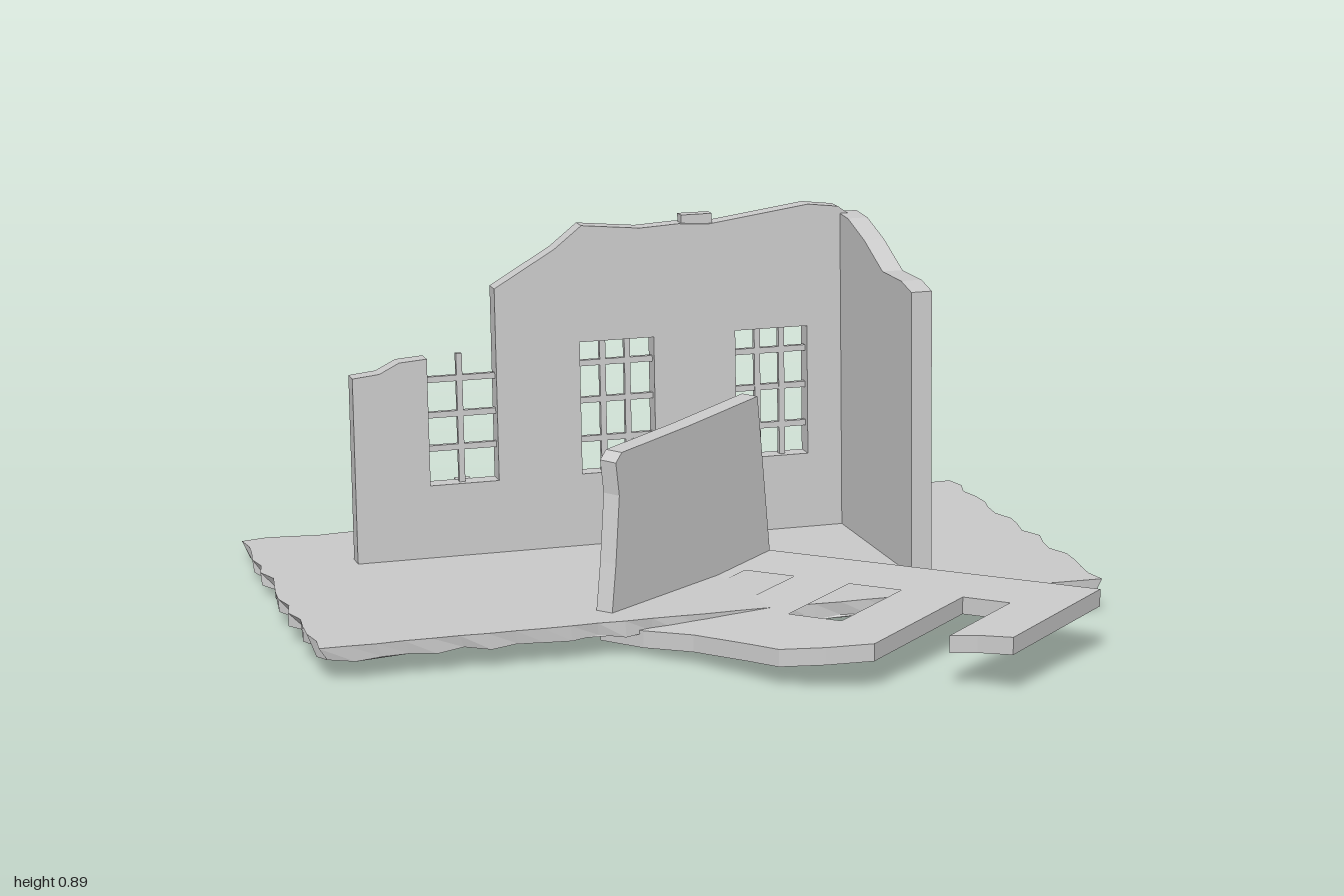
import * as THREE from 'three';

const grey = new THREE.MeshStandardMaterial({ color: 0xcccccc, flatShading: true });

function add(parent, name, geometry) {
  const mesh = new THREE.Mesh(geometry, grey);
  mesh.name = name;
  parent.add(mesh);
  return mesh;
}

function group(parent, name) {
  const g = new THREE.Group();
  g.name = name;
  parent.add(g);
  return g;
}

const toPoints = (list) => list.map(([x, y]) => new THREE.Vector2(x, y));

// Solid plate from an outline, with rectangular openings [x0, y0, x1, y1]
function plate(outline, depth, openings = []) {
  const shape = new THREE.Shape(toPoints(outline));
  for (const [x0, y0, x1, y1] of openings) {
    shape.holes.push(new THREE.Path(toPoints([[x0, y0], [x0, y1], [x1, y1], [x1, y0]])));
  }
  return new THREE.ExtrudeGeometry(shape, { depth, bevelEnabled: false, steps: 1 });
}

function box(parent, name, w, h, d, x, y, z) {
  const mesh = add(parent, name, new THREE.BoxGeometry(w, h, d));
  mesh.position.set(x, y, z);
  return mesh;
}

function seeded(seed) {
  return () => (seed = (seed * 16807) % 2147483647) / 2147483647;
}

// Move every vertex by a rule
function deform(geometry, rule) {
  const p = geometry.attributes.position;
  const v = new THREE.Vector3();
  for (let i = 0; i < p.count; i++) {
    rule(v.fromBufferAttribute(p, i));
    p.setXYZ(i, v.x, v.y, v.z);
  }
  geometry.computeVertexNormals();
  return geometry;
}

// Ground slab with a ragged broken edge
function buildGround(parent) {
  const random = seeded(41);
  const corners = [[-0.94, -0.82], [0.42, -0.82], [0.985, -0.745], [0.925, 0.345], [-0.2, 0.275], [-0.99, 0.235]];
  const outline = [];
  corners.forEach(([x, z], i) => {
    const [nx, nz] = corners[(i + 1) % corners.length];
    const length = Math.hypot(nx - x, nz - z);
    const rough = i === 3 || i === 4 ? 0.006 : 0.026;
    const count = Math.round(length / 0.065);
    for (let k = 0; k < count; k++) {
      const t = k / count;
      const off = k ? (random() - 0.5) * rough : 0;
      outline.push([x + (nx - x) * t - ((nz - z) / length) * off, -(z + (nz - z) * t + ((nx - x) / length) * off)]);
    }
  });
  const slab = plate(outline, 0.035);
  slab.rotateX(-Math.PI / 2).translate(0, 0.045, 0);
  // uneven lower rim
  deform(slab, (v) => {
    if (v.y > 0.06) return;
    v.x *= 0.99 + 0.01 * Math.sin(v.z * 47);
    v.z *= 0.99 + 0.01 * Math.sin(v.x * 41);
    v.y += 0.005 * Math.sin(v.x * 37 + v.z * 53);
  });
  add(parent, 'ground', slab);
}

// Crossed bars filling an opening
function buildBars(parent, x0, x1, y0, y1, uprights, rails) {
  const bars = group(parent, 'windowBars');
  for (const x of uprights) box(bars, 'uprightBar', 0.015, y1 - y0, 0.015, x, (y0 + y1) / 2, 0);
  for (const y of rails) box(bars, 'crossBar', x1 - x0, 0.015, 0.014, (x0 + x1) / 2, y, 0);
}

// Two standing walls meeting at a corner
function buildStandingWalls(parent) {
  const ruin = group(parent, 'standingWalls');
  ruin.position.z = -0.465;
  ruin.rotation.y = -0.055;

  const back = plate([
    [-0.72, 0.05], [0.597, 0.05], [0.597, 0.87], [0.57, 0.885], [0.54, 0.907], [0.46, 0.917],
    [0.2, 0.882], [0.12, 0.887], [0.02, 0.882], [-0.13, 0.897], [-0.2, 0.842], [-0.355, 0.752],
    [-0.355, 0.265], [-0.53, 0.265], [-0.53, 0.587], [-0.6, 0.582], [-0.65, 0.557], [-0.718, 0.55],
  ], 0.052, [[-0.14, 0.265, 0.052, 0.603], [0.265, 0.273, 0.455, 0.605]]);
  add(ruin, 'backWall', back.translate(0, 0, -0.026));

  const side = plate([
    [0, 0.05], [0.57, 0.05], [0.575, 0.78], [0.5, 0.795], [0.36, 0.795], [0.22, 0.85], [0.09, 0.885], [0, 0.89],
  ], 0.052);
  add(ruin, 'sideWall', side.rotateY(-Math.PI / 2).translate(0.597, 0, 0));

  buildBars(ruin, -0.53, -0.355, 0.265, 0.592, [-0.445], [0.355, 0.44, 0.53]);
  buildBars(ruin, -0.14, 0.052, 0.265, 0.603, [-0.077, -0.013], [0.35, 0.45, 0.545]);
  buildBars(ruin, 0.265, 0.455, 0.273, 0.605, [0.328, 0.392], [0.35, 0.45, 0.545]);

  // loose stones on the broken top and toothed stones up the corner
  box(ruin, 'topStone', 0.08, 0.03, 0.035, 0.17, 0.892, 0);
  for (let i = 0; i < 11; i++) {
    box(ruin, 'cornerStone', 0.05, 0.03, 0.05, 0.576, 0.13 + i * 0.066, -0.006);
  }
}

// Wall section broken in two: a leaning stump and a slab lying in front of it
function buildFallenWall(parent) {
  const fallen = group(parent, 'fallenWall');
  fallen.position.set(0.235, 0, -0.2);
  fallen.rotation.y = 0.6;

  const stump = plate([
    [-0.65, 0.05], [0, 0.05], [-0.005, 0.2], [-0.015, 0.482], [-0.3, 0.468], [-0.565, 0.46],
    [-0.59, 0.44], [-0.585, 0.36], [-0.615, 0.2],
  ], 0.047);
  deform(stump, (v) => { v.z -= 0.027 + 0.075 * (v.y - 0.05); });
  add(fallen, 'leaningStump', stump.translate(0, 0, 0.02));

  const slab = plate([
    [0, 0], [0, -0.985], [-0.384, -0.985], [-0.4, -0.9], [-0.424, -0.84], [-0.165, -0.84], [-0.165, -0.71],
    [-0.536, -0.71], [-0.6, -0.62], [-0.65, -0.525], [-0.642, -0.43], [-0.633, -0.27], [-0.65, -0.136], [-0.64, 0],
  ], 0.042, [[-0.42, -0.54, -0.17, -0.39], [-0.42, -0.226, -0.165, -0.08]]);
  slab.rotateX(-Math.PI / 2);
  deform(slab, (v) => { v.y += 0.043 + 0.045 * v.x + 0.08 * v.z; });
  add(fallen, 'fallenSlab', slab);
}

// Planks leaning on the outside of the back wall
function buildPlanks(parent) {
  for (const [x, z] of [[-0.445, -0.605], [0.148, -0.595]]) {
    const plank = box(parent, 'leaningPlank', 0.04, 0.018, 0.27, x, 0.168, z);
    plank.rotation.set(-Math.PI / 4, 0.07, 0);
  }
}

export function createModel() {
  const model = new THREE.Group();
  model.name = 'ruinedHouse';
  const site = group(model, 'tiltedSite');
  site.rotation.x = -0.045;
  buildGround(site);
  buildStandingWalls(site);
  buildPlanks(site);
  buildFallenWall(model);
  return model;
}
